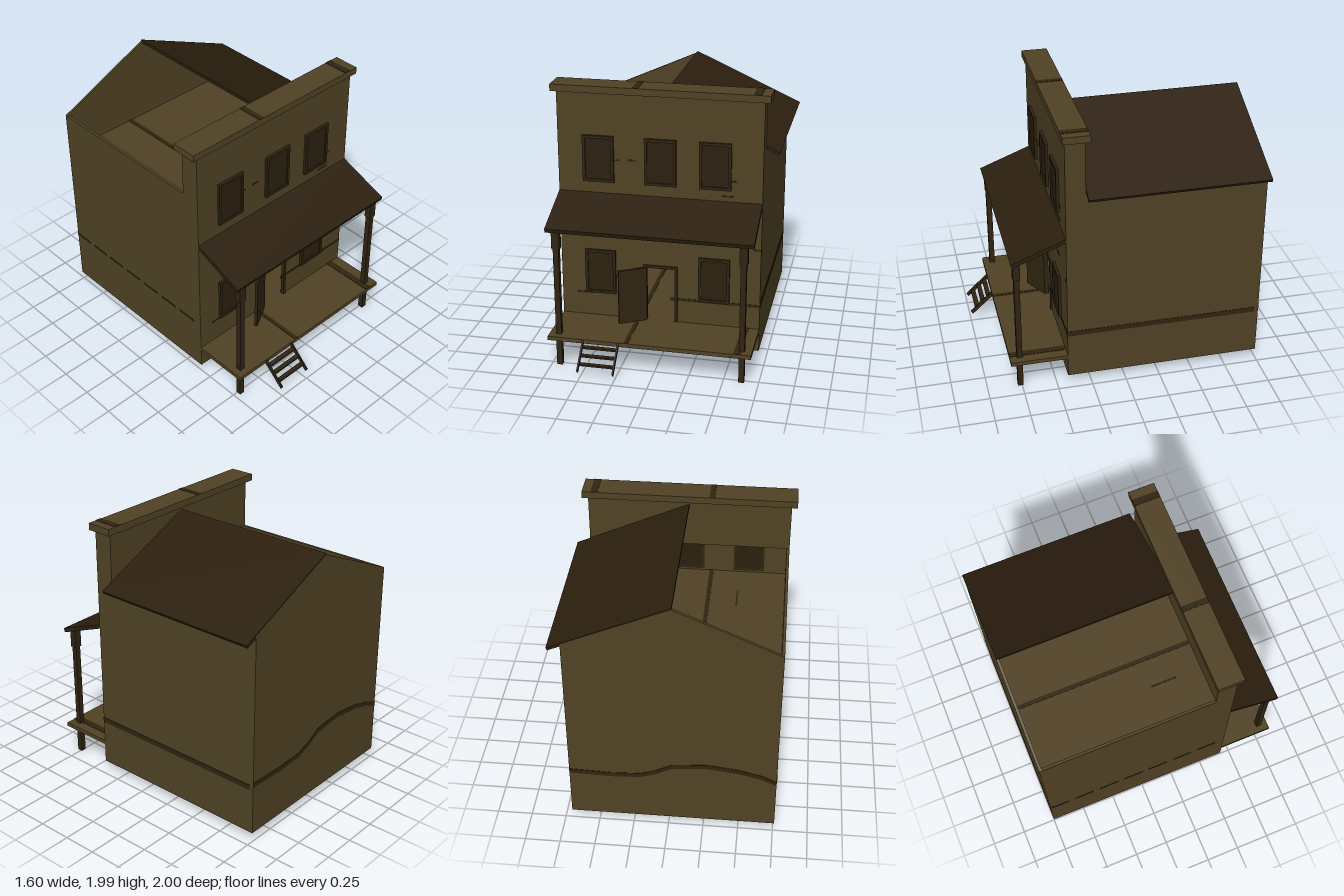
import * as THREE from 'three';

const mat = (name, color, side = THREE.FrontSide) => {
  const m = new THREE.MeshStandardMaterial({ color, side });
  m.name = name;
  return m;
};

export function createModel() {
  const root = new THREE.Group();
  root.name = 'oldTownBuilding';
  const wall = mat('weatheredBoards', 0x504224, THREE.DoubleSide);
  const roofMat = mat('darkShingles', 0x2c1f0f);
  const trim = mat('darkTrim', 0x2f2412);
  const pane = mat('windowPane', 0x2b200f);
  const stain = mat('boardCrack', 0x30240f);

  const add = (name, geo, material, parent = root) => {
    const m = new THREE.Mesh(geo, material);
    m.name = name;
    parent.add(m);
    return m;
  };
  // Box given by its limits on each axis
  const box = (name, material, x0, x1, y0, y1, z0, z1, parent = root) => {
    const m = add(name, new THREE.BoxGeometry(x1 - x0, y1 - y0, z1 - z0), material, parent);
    m.position.set((x0 + x1) / 2, (y0 + y1) / 2, (z0 + z1) / 2);
    return m;
  };
  const shapeOf = pts => new THREE.Shape(pts.map(p => new THREE.Vector2(p[0], p[1])));
  const extrude = (pts, depth, hole) => {
    const s = shapeOf(pts);
    if (hole) s.holes.push(shapeOf(hole));
    return new THREE.ExtrudeGeometry(s, { depth, bevelEnabled: false });
  };

  const L = -0.76, R = 0.7, F = 0.42, B = -1, BASE = 0.07, EAVE = 1.58, TOP = 1.94, T = 0.02;
  const RIDGE = -0.03, DECK = 0.245;

  // Front wall with doorway
  add('frontWall', extrude([[L, BASE], [R, BASE], [R, TOP], [L, TOP]], T,
    [[-0.13, DECK], [-0.13, 0.68], [0.1, 0.68], [0.1, DECK]]), wall).position.z = F - T;
  // Gabled back wall
  add('backWall', extrude([[L, BASE], [R, BASE], [R, EAVE], [RIDGE, 1.905], [L, EAVE]], T), wall).position.z = B;
  // Side walls, rising behind the false front
  const sidePts = [[-F, BASE], [-B, BASE], [-B, EAVE], [-0.28, EAVE], [-0.28, TOP], [-F, TOP]];
  for (const [name, x] of [['rightWall', L], ['leftWall', R - T]]) {
    const side = add(name, extrude(sidePts, T), wall);
    side.rotation.y = Math.PI / 2;
    side.position.x = x;
  }
  box('falseFrontBack', wall, L, R, EAVE, TOP, 0.28, 0.295);
  box('cornice', wall, -0.8, 0.74, TOP, 1.99, 0.25, 0.44);
  box('lowerFloor', wall, L + T, R - T, 0.215, DECK, B + T, F - T);
  box('upperFloor', wall, L + T, R - T, 1.26, 1.28, B + T, F - T);

  // Remaining half of the main roof
  add('mainRoof', extrude([[RIDGE, 1.89], [0.785, 1.525], [0.795, 1.545], [RIDGE, 1.915]], 1.28), roofMat)
    .position.z = B;

  // Windows, their frames passing through the wall
  const makeWindow = (x, y) => {
    const g = new THREE.Group();
    g.name = 'window';
    const w = 0.1125, h = 0.17, b = 0.02;
    add('windowFrame', extrude([[-w, -h], [w, -h], [w, h], [-w, h]], 0.045,
      [[-w + b, -h + b], [-w + b, h - b], [w - b, h - b], [w - b, -h + b]]), trim, g);
    box('windowPane', pane, -w + b, w - b, -h + b, h - b, 0, 0.035, g);
    g.position.set(x, y, 0.395);
    root.add(g);
  };
  for (const x of [-0.467, -0.022, 0.367]) makeWindow(x, 1.465);
  for (const x of [-0.467, 0.367]) makeWindow(x, 0.6);

  // Door frame and open door
  box('doorJamb', trim, 0.08, 0.1, DECK, 0.68, F - T, 0.43);
  box('doorJamb', trim, -0.14, -0.125, DECK, 0.68, F - T, 0.43);
  box('doorLintel', trim, -0.15, 0.1, 0.66, 0.68, F - T, 0.43);
  const hinge = new THREE.Group();
  hinge.name = 'door';
  box('doorPanel', trim, -0.21, 0, DECK, 0.66, -0.01, 0.01, hinge);
  hinge.position.set(-0.13, 0, 0.425);
  hinge.rotation.y = 0.52;
  root.add(hinge);

  // Porch deck, posts and sloping roof
  box('porchDeck', wall, L, R, 0.215, DECK, F - T, 0.83);
  for (const x of [-0.692, 0.628]) {
    box('porchPost', trim, x - 0.02, x + 0.02, 0, 1.06, 0.74, 0.78);
    box('postCap', trim, x - 0.028, x + 0.028, 0.9, 1.06, 0.735, 0.785);
  }
  const porch = add('porchRoof', extrude(
    [[-F, 1.18], [-F, 1.21], [-0.805, 1.06], [-0.795, 1.03]], R - L), roofMat);
  porch.rotation.y = Math.PI / 2;
  porch.position.x = L;

  // Steps
  for (const x of [-0.505, -0.25]) {
    const s = add('stepStringer', extrude(
      [[-0.82, 0.215], [-0.835, 0.245], [-1, 0.09], [-0.985, 0.065]], 0.01), trim);
    s.rotation.y = Math.PI / 2;
    s.position.x = x;
  }
  [0.855, 0.9, 0.948].forEach((z, i) => {
    const y = 0.2 - i * 0.043;
    box('stepTread', trim, -0.5, -0.245, y - 0.006, y + 0.006, z - 0.017, z + 0.017);
  });

  // Wavering cracks as thin ribbons
  const crack = (pts, width) => extrude(
    [...pts.map(p => [p[0], p[1] - width / 2]), ...pts.slice().reverse().map(p => [p[0], p[1] + width / 2])], 0.004);
  add('backCrack', crack([[L, 0.46], [-0.65, 0.51], [-0.5, 0.55], [-0.27, 0.58], [-0.03, 0.56],
    [0.08, 0.5], [0.2, 0.46], [0.4, 0.45], [R, 0.46]], 0.035), stain).position.z = B - 0.003;
  add('insideCrack', crack([[-0.3, 0.5], [-0.13, 0.53], [-0.03, 0.585], [0.15, 0.58]], 0.04), stain)
    .position.z = B + T - 0.001;
  box('leftCrack', stain, R - 0.001, R + 0.003, 0.412, 0.45, -0.97, F);
  for (let z = B; z < 0.35; z += 0.2)
    box('rightCrack', stain, L - 0.003, L + 0.001, 0.46, 0.475, z, z + 0.15);

  // Cracks between the front boards: x start, x end, y, height
  for (const [x0, x1, y, h] of [[0.05, 0.7, 0.425, 0.02], [-0.65, -0.53, 0.422, 0.012],
    [0.04, 0.15, 0.918, 0.01], [0.22, 0.3, 0.918, 0.01], [0.37, 0.45, 0.94, 0.01],
    [-0.1, -0.02, 0.95, 0.008], [-0.26, -0.2, 1.465, 0.012], [-0.35, -0.32, 1.46, 0.01],
    [0.41, 0.5, 1.248, 0.012], [0.48, 0.52, 1.36, 0.012], [0.65, 0.7, 0.86, 0.012]])
    box('frontCrack', stain, x0, x1, y - h / 2, y + h / 2, F - 0.001, F + 0.003);

  // Cracks on floors, deck and cornice: x, width, z start, z end, y
  for (const [x, w, z0, z1, y] of [[-0.19, 0.03, B + T, F - T, 1.28], [-0.4, 0.012, -0.05, 0.15, 1.28],
    [-0.19, 0.03, B + T, F - T, DECK], [-0.19, 0.03, F, 0.83, DECK], [0.6, 0.05, F, 0.83, DECK],
    [-0.195, 0.04, 0.25, 0.44, 1.99], [0.65, 0.05, 0.25, 0.44, 1.99]])
    box('floorCrack', stain, x - w / 2, x + w / 2, y - 0.001, y + 0.003, z0, z1);

  return root;
}
